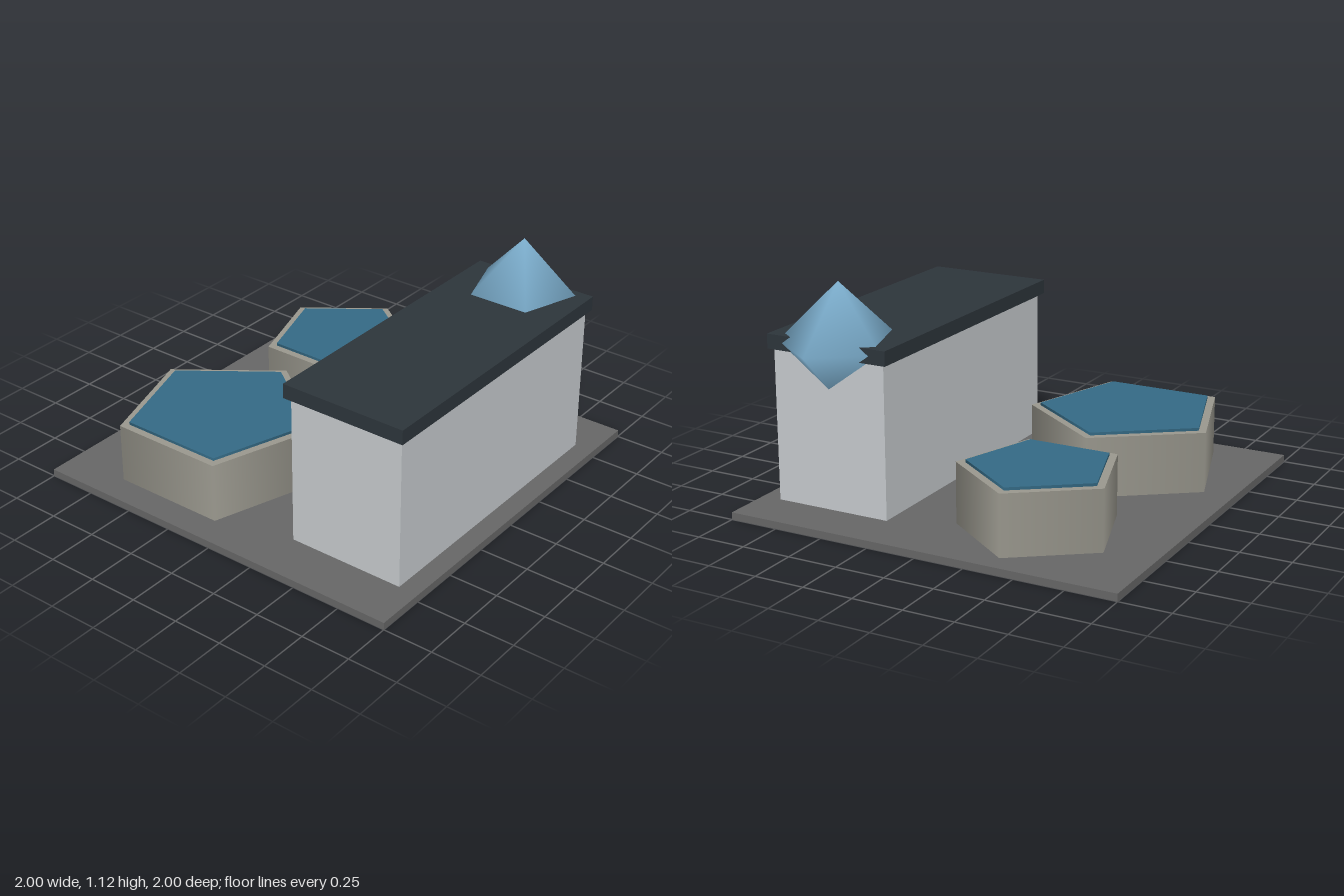
import * as THREE from 'three';

const paint = (name, color) => {
  const m = new THREE.MeshStandardMaterial({ color });
  m.name = name;
  return m;
};

export function createModel() {
  const group = new THREE.Group();
  const paving = paint('paving grey', 0x666666);
  const wall = paint('pale wall grey', 0xc6cacd);
  const roofing = paint('dark slate', 0x2d353b);
  const concrete = paint('concrete', 0x9a988e);
  const water = paint('water blue', 0x346a85);
  const glass = paint('light blue', 0x7fb2d2);

  const add = (name, geometry, material, x, y, z) => {
    const mesh = new THREE.Mesh(geometry, material);
    mesh.name = name;
    mesh.position.set(x, y, z);
    group.add(mesh);
    return mesh;
  };
  // Box given by its bottom height
  const box = (name, w, h, d, material, x, y, z) =>
    add(name, new THREE.BoxGeometry(w, h, d), material, x, y + h / 2, z);
  // Five-sided drum with one corner towards +x and smooth sides
  const drum = (name, r, y0, y1, material, x, z) =>
    add(name, new THREE.CylinderGeometry(r, r, y1 - y0, 5, 1, false, Math.PI / 2),
      material, x, (y0 + y1) / 2, z);

  // Ground slab and building
  box('groundSlab', 2, 0.036, 2, paving, 0, 0, 0);
  box('buildingWalls', 1.5, 0.754, 0.6, wall, 0, 0.036, 0.6);
  box('roof', 1.55, 0.072, 0.645, roofing, 0, 0.79, 0.598);

  // Faceted dome sunk into the end of the roof
  const dome = add('roofDome', new THREE.SphereGeometry(0.297, 5, 2), glass, 0.65, 0.827, 0.6);
  dome.rotation.y = Math.PI;

  // Two round tanks with water on top
  for (const [side, x, r] of [['right', -0.455, 0.496], ['left', 0.5, 0.396]]) {
    drum(side + 'Tank', r, 0.036, 0.338, concrete, x, -0.376);
    drum(side + 'TankWater', r - 0.045, 0.33, 0.352, water, x, -0.376);
  }
  return group;
}
